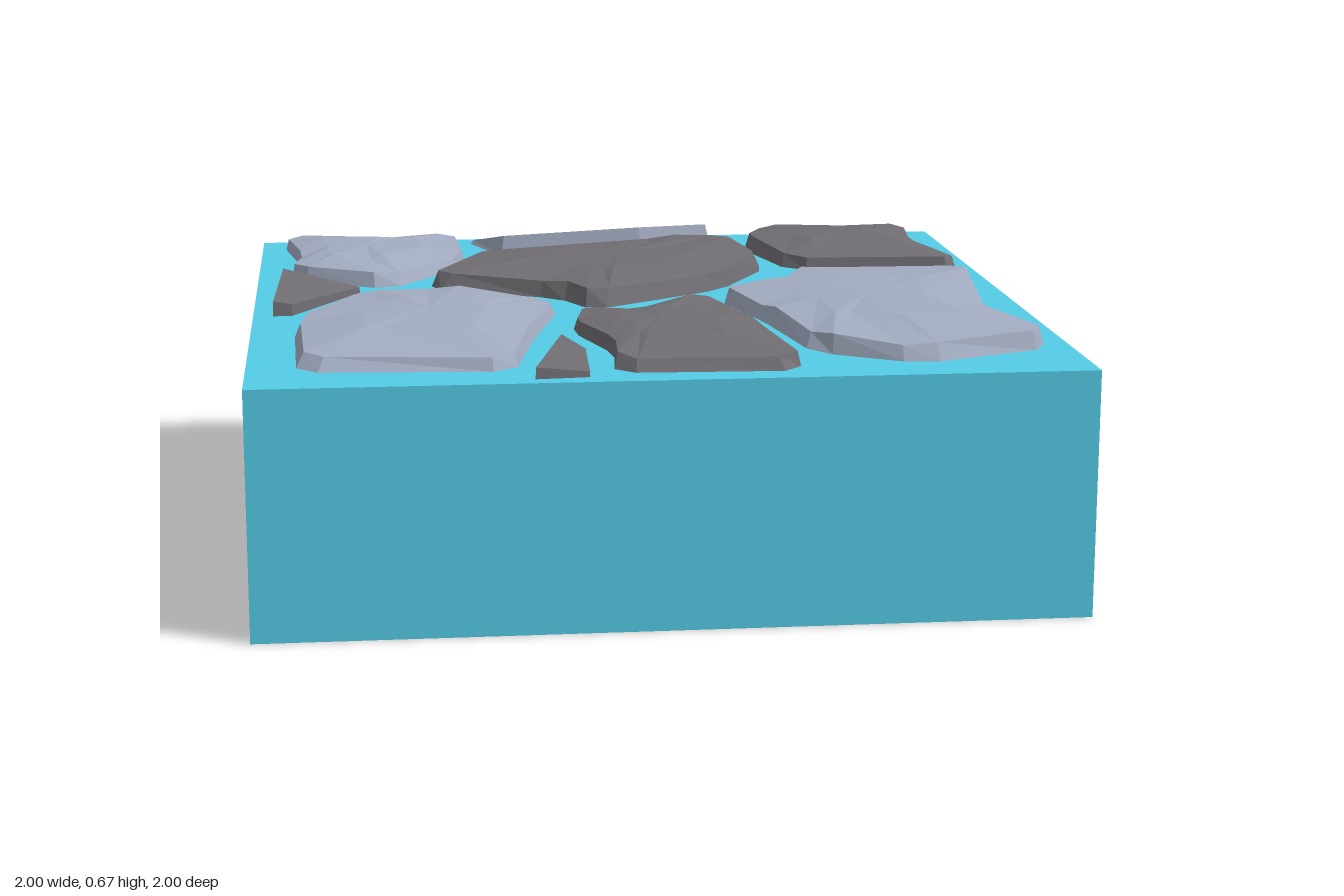
import * as THREE from 'three';

const TOP = 0.605;

function material(name, color, side = THREE.FrontSide) {
  const m = new THREE.MeshStandardMaterial({ color, side, flatShading: true });
  m.name = name;
  return m;
}
const teal = material('teal ground', 0x54cce6, THREE.DoubleSide);
const pale = material('pale stone', 0xa3acc1);
const dark = material('dark stone', 0x706e73);

function seeded(seed) {
  let s = seed;
  return () => (s = (s * 16807) % 2147483647) / 2147483647;
}

// x, z pairs, clockwise from above, to a list of corners
function corners(flat) {
  return Array.from({ length: flat.length / 2 }, (_, i) => new THREE.Vector2(flat[2 * i], flat[2 * i + 1]));
}

// Cut every corner off by a short step towards each neighbour
function chip(points) {
  const n = points.length;
  return points.flatMap((p, i) => [points[(i + n - 1) % n], points[(i + 1) % n]].map((q) => {
    const length = p.distanceTo(q);
    return p.clone().lerp(q, Math.min(0.05, 0.2 * length) / length);
  }));
}

// Join rings of [scale, height, roughness, bumpiness] from the ground up to a crown with
// flat facets; tilt gives the slope of the upper side along x and z
function stoneGeometry(points, layers, crownY, tilt, rand) {
  const n = points.length;
  const centre = points.reduce((sum, p) => sum.add(p), new THREE.Vector2()).divideScalar(n);
  const rings = layers.map(([scale, y, rough, bump], r) => points.map((p) => {
    const d = p.clone().sub(centre).multiplyScalar(scale + (rand() - 0.5) * rough);
    const slope = r > 0 ? d.dot(tilt) : 0;
    return [centre.x + d.x, y + slope + (rand() - 0.5) * bump, centre.y + d.y];
  }));
  const last = rings[rings.length - 1];
  const pos = [];
  const tri = (a, b, c) => pos.push(...a, ...b, ...c);
  for (let i = 0; i < n; i++) {
    const j = (i + 1) % n;
    for (let r = 0; r + 1 < rings.length; r++) {
      const lo = rings[r], hi = rings[r + 1];
      tri(lo[i], hi[i], hi[j]);
      tri(lo[i], hi[j], lo[j]);
    }
    tri([centre.x, crownY, centre.y], last[j], last[i]);
  }
  const geometry = new THREE.BufferGeometry();
  geometry.setAttribute('position', new THREE.Float32BufferAttribute(pos, 3));
  geometry.computeVertexNormals();
  return geometry;
}

export function createModel() {
  const group = new THREE.Group();
  group.name = 'stonePavingTile';
  const rand = seeded(4711);

  const add = (name, geometry, mat) => {
    const mesh = new THREE.Mesh(geometry, mat);
    mesh.name = name;
    group.add(mesh);
  };
  // Worn paving stone with chipped corners and a low faceted crown
  const stone = (name, mat, crownY, outline) => {
    const layers = [[1, TOP, 0, 0], [0.955, crownY - 0.02, 0.045, 0.014], [0.5, crownY - 0.004, 0.12, 0.008]];
    add(name, stoneGeometry(chip(corners(outline)), layers, crownY, new THREE.Vector2(), rand), mat);
  };
  // Sharp splinter with a tilted flat top
  const shard = (name, mat, baseY, topY, tilt, outline) => {
    const layers = [[1, baseY, 0, 0], [0.97, topY, 0, 0]];
    add(name, stoneGeometry(corners(outline), layers, topY, tilt, rand), mat);
  };

  // Ground block, hollow and open underneath
  const block = new THREE.BoxGeometry(2, TOP, 2).translate(0, TOP / 2, 0);
  const index = Array.from(block.index.array);
  index.splice(18, 6);
  block.setIndex(index);
  block.clearGroups();
  add('groundBlock', block, teal);

  // Back row
  stone('backLeftStone', pale, 0.66,
    [-0.94, -0.92, -0.67, -0.86, -0.43, -0.94, -0.42, -0.54, -0.64, -0.21, -0.91, -0.37, -0.89, -0.62]);
  shard('backShard', pale, TOP, 0.648, new THREE.Vector2(0.05, 0.2),
    [-0.39, -0.92, -0.1, -0.945, 0.32, -0.88, 0.1, -0.74, -0.31, -0.69]);
  stone('backRightStone', dark, 0.665,
    [0.4, -0.74, 0.48, -0.97, 0.68, -0.86, 0.93, -0.92, 0.88, -0.62, 0.97, -0.32, 0.48, -0.39]);

  // Middle row
  stone('middleStone', dark, 0.673,
    [-0.55, -0.2, -0.36, -0.57, 0.17, -0.73, 0.35, -0.71, 0.42, -0.42, 0.25, -0.11, -0.12, 0.14, -0.2, -0.03]);
  shard('sideShard', dark, 0.582, 0.64, new THREE.Vector2(-0.17, -0.05),
    [-0.93, -0.26, -0.72, -0.17, -0.9, 0.14, -0.95, 0.14]);
  stone('largeStone', pale, 0.667,
    [0.22, 0.04, 0.39, -0.04, 0.5, -0.25, 0.96, -0.22, 0.88, 0.42, 0.95, 0.74, 0.6, 0.88, 0.36, 0.73, 0.3, 0.35]);

  // Front row
  stone('frontLeftStone', pale, 0.663,
    [-0.89, 0.36, -0.73, -0.03, -0.5, -0.05, -0.21, 0.14, -0.3, 0.5, -0.37, 0.87, -0.88, 0.83]);
  stone('frontMiddleStone', dark, 0.66,
    [-0.2, 0.42, -0.16, 0.26, -0.03, 0.28, 0.18, 0.07, 0.27, 0.5, 0.31, 0.93, -0.14, 0.91, -0.12, 0.7]);
  shard('frontShard', dark, 0.582, 0.628, new THREE.Vector2(-0.12, -0.04),
    [-0.24, 0.59, -0.19, 0.72, -0.2, 0.95, -0.33, 0.96]);
  return group;
}
